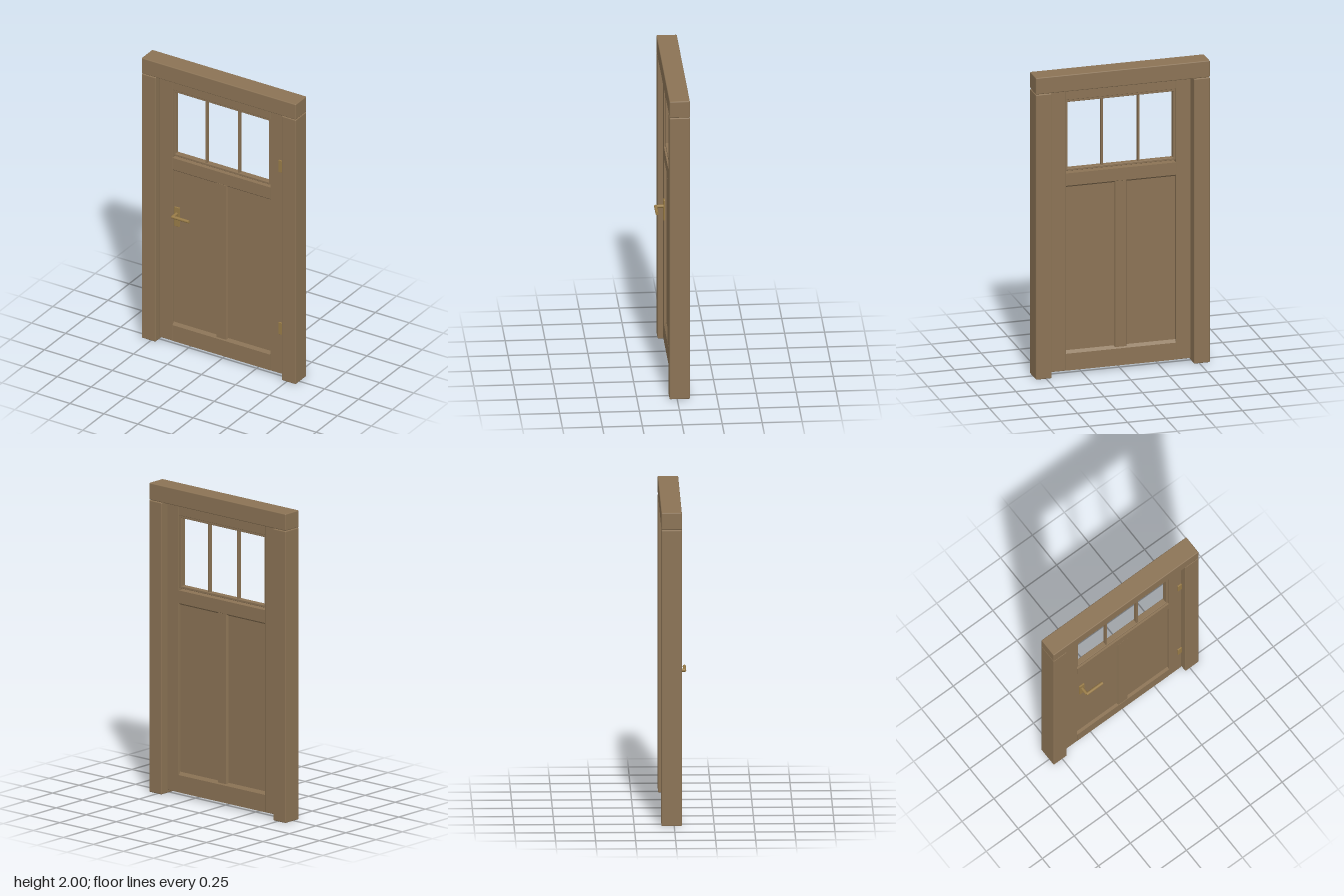
import * as THREE from 'three';
import { RoundedBoxGeometry } from 'three/addons/geometries/RoundedBoxGeometry.js';

export function createModel() {
  const door = new THREE.Group();
  door.name = 'door';
  const wood = new THREE.MeshStandardMaterial({ color: 0x8b7355 });
  wood.name = 'wood';
  const brass = new THREE.MeshStandardMaterial({ color: 0x987b47 });
  brass.name = 'brass';

  const add = (name, geometry, material, parent) => {
    const mesh = new THREE.Mesh(geometry, material);
    mesh.name = name;
    parent.add(mesh);
    return mesh;
  };
  // Box given by its limits, with softly rounded edges
  const block = (name, [x0, x1], [y0, y1], [z0, z1], parent, material = wood, radius = 0.003) => {
    const geometry = new RoundedBoxGeometry(x1 - x0, y1 - y0, z1 - z0, 2, radius);
    geometry.translate((x0 + x1) / 2, (y0 + y1) / 2, (z0 + z1) / 2);
    return add(name, geometry, material, parent);
  };
  const group = (name) => {
    const g = new THREE.Group();
    g.name = name;
    door.add(g);
    return g;
  };

  // Outer frame: two jambs and a lintel
  const frame = group('frame');
  const frameZ = [-0.08, 0.048];
  block('rightJamb', [-0.568, -0.464], [0, 1.888], frameZ, frame, wood, 0.006);
  block('leftJamb', [0.464, 0.568], [0, 1.888], frameZ, frame, wood, 0.006);
  block('lintel', [-0.568, 0.568], [1.89, 2], frameZ, frame, wood, 0.006);

  // Leaf: stiles and rails
  const leaf = group('leaf');
  const mid = -0.01, half = 0.026;
  const leafZ = [mid - half, mid + half];
  block('rightStile', [-0.455, -0.359], [0.025, 1.89], leafZ, leaf);
  block('leftStile', [0.359, 0.455], [0.025, 1.89], leafZ, leaf);
  block('topRail', [-0.36, 0.36], [1.818, 1.89], leafZ, leaf);

  // Rails whose edge towards the panels is bevelled on both faces
  const bevelRail = (name, flat, shoulder, edge) => {
    const shape = new THREE.Shape([
      [-half, flat], [half, flat], [half, shoulder], [0.012, edge], [-0.012, edge], [-half, shoulder],
    ].map(([z, y]) => new THREE.Vector2(z, y)));
    const geometry = new THREE.ExtrudeGeometry(shape, { depth: 0.718, bevelEnabled: false });
    geometry.rotateY(Math.PI / 2).translate(-0.359, 0, mid);
    add(name, geometry, wood, leaf);
  };
  bevelRail('bottomRail', 0.025, 0.137, 0.156);
  bevelRail('middleRail', 1.332, 1.25, 1.238);

  // Recessed panels and the bevelled post between them
  const panelZ = [mid - 0.011, mid + 0.011];
  block('rightPanel', [-0.362, -0.02], [0.145, 1.245], panelZ, leaf);
  block('leftPanel', [0.02, 0.362], [0.145, 1.245], panelZ, leaf);
  const post = new THREE.Shape([
    [-0.041, 0.012], [-0.034, half], [0.034, half], [0.041, 0.012],
    [0.041, -0.012], [0.034, -half], [-0.034, -half], [-0.041, -0.012],
  ].map(([x, z]) => new THREE.Vector2(x, z)));
  const postGeometry = new THREE.ExtrudeGeometry(post, { depth: 1.1, bevelEnabled: false });
  postGeometry.rotateX(-Math.PI / 2).translate(0, 0.148, mid);
  add('centrePost', postGeometry, wood, leaf);

  // Open window: beads around it and two glazing bars
  const win = group('window');
  const beadZ = [mid - 0.018, mid + 0.018];
  block('bottomBead', [-0.36, 0.36], [1.345, 1.361], beadZ, win);
  block('topBead', [-0.36, 0.36], [1.801, 1.819], beadZ, win);
  for (const s of [-1, 1]) {
    const c = s * 0.352, b = s * 0.12;
    block(s < 0 ? 'rightBead' : 'leftBead', [c - 0.008, c + 0.008], [1.345, 1.819], beadZ, win);
    block(s < 0 ? 'rightBar' : 'leftBar', [b - 0.006, b + 0.006], [1.352, 1.81], [mid - 0.014, mid + 0.014], win);
  }

  // Hinges on the left stile
  const hinges = group('hinges');
  for (const y of [0.35, 1.508]) {
    block('hinge', [0.425, 0.455], [y - 0.042, y + 0.042], [0.005, 0.024], hinges, brass, 0.002);
  }

  // Handle: plate, stem and lever
  const handle = group('handle');
  block('handlePlate', [-0.344, -0.306], [0.854, 0.99], [0.012, 0.022], handle, brass, 0.002);
  const stem = add('handleStem', new THREE.CylinderGeometry(0.01, 0.01, 0.055, 16), brass, handle);
  stem.rotation.x = Math.PI / 2;
  stem.position.set(-0.325, 0.945, 0.0435);
  const lever = add('handleLever', new THREE.CylinderGeometry(0.01, 0.01, 0.125, 16), brass, handle);
  lever.rotation.z = Math.PI / 2;
  lever.position.set(-0.2655, 0.945, 0.07);

  return door;
}
